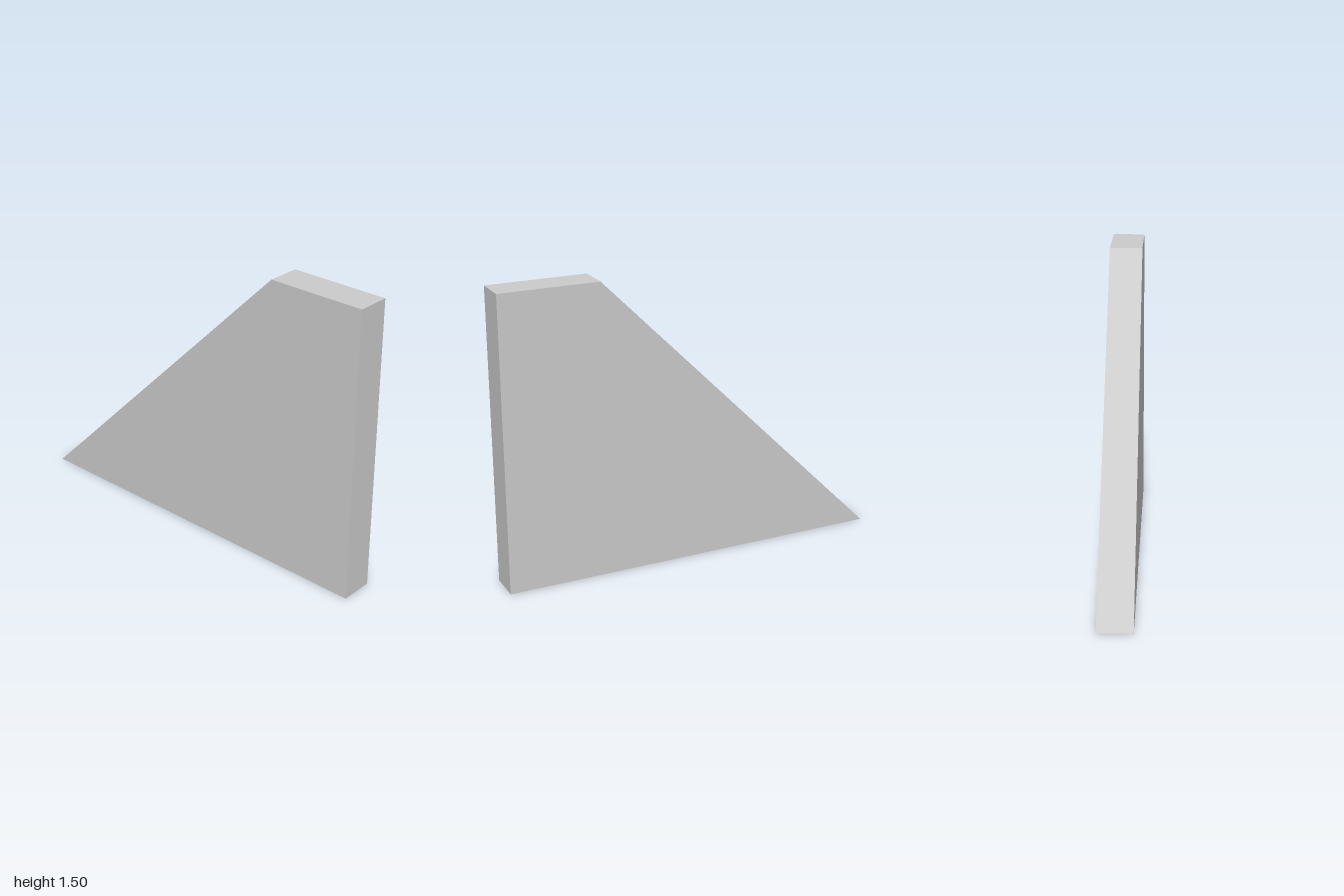
import * as THREE from 'three';

export function createModel() {
  const width = 0.17, height = 1.495;
  const group = new THREE.Group();
  group.name = 'slopedWall';

  // Side profile: upright front edge, short flat top, 45 degree slope down to the back
  const profile = new THREE.Shape([
    new THREE.Vector2(-1, 0),
    new THREE.Vector2(1, 0),
    new THREE.Vector2(1 - height, height),
    new THREE.Vector2(-1, height),
  ]);

  // Extrude across the thickness, then turn so the upright edge faces +z
  const geometry = new THREE.ExtrudeGeometry(profile, { depth: width, bevelEnabled: false });
  geometry.translate(0, 0, -width / 2);
  geometry.rotateY(Math.PI / 2);

  const panel = new THREE.Mesh(
    geometry,
    new THREE.MeshStandardMaterial({ color: 0xcccccc, flatShading: true })
  );
  panel.name = 'wallPanel';
  group.add(panel);
  return group;
}
